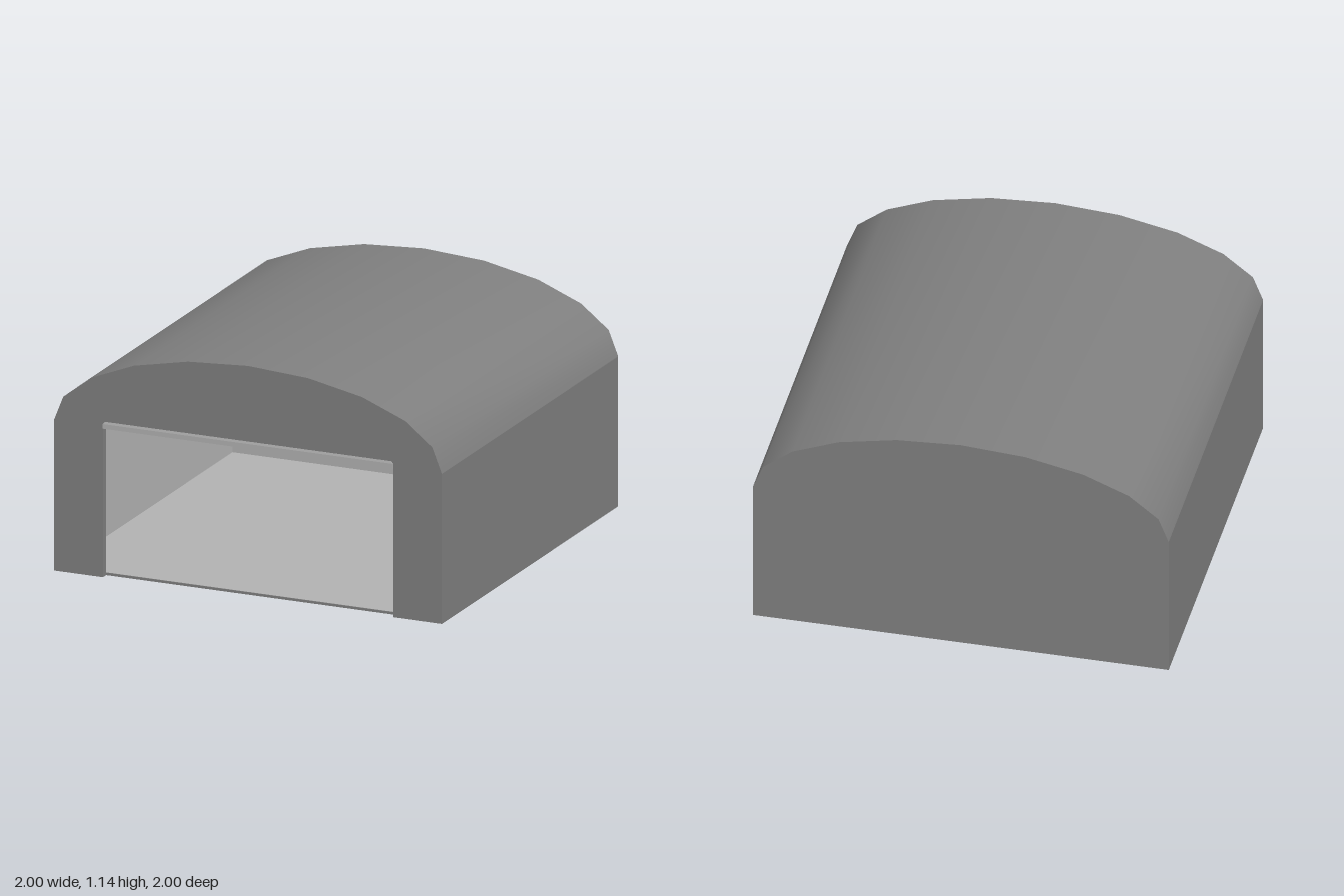
import * as THREE from 'three';

const EAVE = 0.738, RISE = 0.4, SEGMENTS = 10;
const FRONT = 0.997, BACK = -1, SKIN = 0.025, WALL = 0.035;
const DOOR_X = 0.747, DOOR_Y = 0.732;

// Point of the arched roof line; t runs from the left-hand (-x) eave to the +x eave
function archPoint(t, inset) {
  const a = Math.PI * (1 - t);
  return new THREE.Vector2((1 - inset) * Math.cos(a), EAVE + (RISE - inset) * Math.sin(a));
}

// Outline of the end walls, optionally with the doorway cut up from the ground
function endShape(inset, doorway) {
  const pts = [new THREE.Vector2(-(1 - inset), 0)];
  if (doorway) {
    pts.push(new THREE.Vector2(-DOOR_X, 0), new THREE.Vector2(-DOOR_X, DOOR_Y),
      new THREE.Vector2(DOOR_X, DOOR_Y), new THREE.Vector2(DOOR_X, 0));
  }
  pts.push(new THREE.Vector2(1 - inset, 0));
  for (let i = SEGMENTS; i >= 0; i--) pts.push(archPoint(i / SEGMENTS, inset));
  return new THREE.Shape(pts);
}

// Smooth vault made by bending a flat sheet
function vault(inset, z0, z1) {
  const g = new THREE.PlaneGeometry(1, 1, SEGMENTS, 1);
  const p = g.attributes.position;
  for (let i = 0; i < p.count; i++) {
    const q = archPoint(p.getX(i) + 0.5, inset);
    p.setXYZ(i, q.x, q.y, p.getY(i) < 0 ? z1 : z0);
  }
  g.computeVertexNormals();
  return g;
}

export function createModel() {
  const model = new THREE.Group();
  const outside = new THREE.MeshStandardMaterial({ color: 0x7f7f7f, side: THREE.DoubleSide });
  outside.name = 'dark grey shell';
  const inside = new THREE.MeshStandardMaterial({ color: 0xb2b2b2, side: THREE.DoubleSide });
  inside.name = 'light grey lining';

  function add(name, geometry, material, x = 0, y = 0, z = 0) {
    const m = new THREE.Mesh(geometry, material);
    m.name = name;
    m.position.set(x, y, z);
    model.add(m);
    return m;
  }

  // Outer shell and inner lining share the same construction
  function shell(prefix, inset, z0, z1, material) {
    add(prefix + 'Roof', vault(inset, z0, z1), material);
    for (const s of [-1, 1]) {
      const side = new THREE.PlaneGeometry(z1 - z0, EAVE).rotateY(s * Math.PI / 2);
      add(prefix + (s > 0 ? 'LeftWall' : 'RightWall'), side, material,
        s * (1 - inset), EAVE / 2, (z0 + z1) / 2);
    }
    const back = new THREE.ShapeGeometry(endShape(inset, false)).rotateY(Math.PI);
    add(prefix + 'BackWall', back, material, 0, 0, z0);
  }
  const innerFront = FRONT - WALL;
  shell('outer', 0, BACK, FRONT, outside);
  shell('inner', SKIN, BACK + SKIN, innerFront, inside);

  // Front wall: a crisp face with a thick doorway behind it
  add('frontFace', new THREE.ShapeGeometry(endShape(0, true)), outside, 0, 0, FRONT);
  add('frontWall', new THREE.ExtrudeGeometry(endShape(0.004, true),
    { depth: WALL - 0.001, bevelEnabled: false }), outside, 0, 0, innerFront);

  // Ground slab, stopping behind the doorway, with a light floor on top
  const length = innerFront - BACK;
  add('base', new THREE.BoxGeometry(1.998, 0.012, length - 0.002), outside,
    0, 0.006, (innerFront + BACK) / 2);
  add('floor', new THREE.PlaneGeometry(2 - 2 * SKIN, length - SKIN).rotateX(-Math.PI / 2), inside,
    0, 0.014, (innerFront + BACK + SKIN) / 2);

  // Slim door rail over the opening, its upper edge chamfered back
  const rail = new THREE.BoxGeometry(2 * DOOR_X, 0.034, 0.006, 1, 3, 1).toNonIndexed();
  const p = rail.attributes.position;
  for (let i = 0; i < p.count; i++) {
    if (p.getY(i) > 0.016) {
      p.setX(i, p.getX(i) * 0.987);
      if (p.getZ(i) > 0) p.setZ(i, 0.0005);
    }
  }
  rail.computeVertexNormals();
  add('doorRail', rail, inside, 0, DOOR_Y + 0.017, FRONT);

  return model;
}
